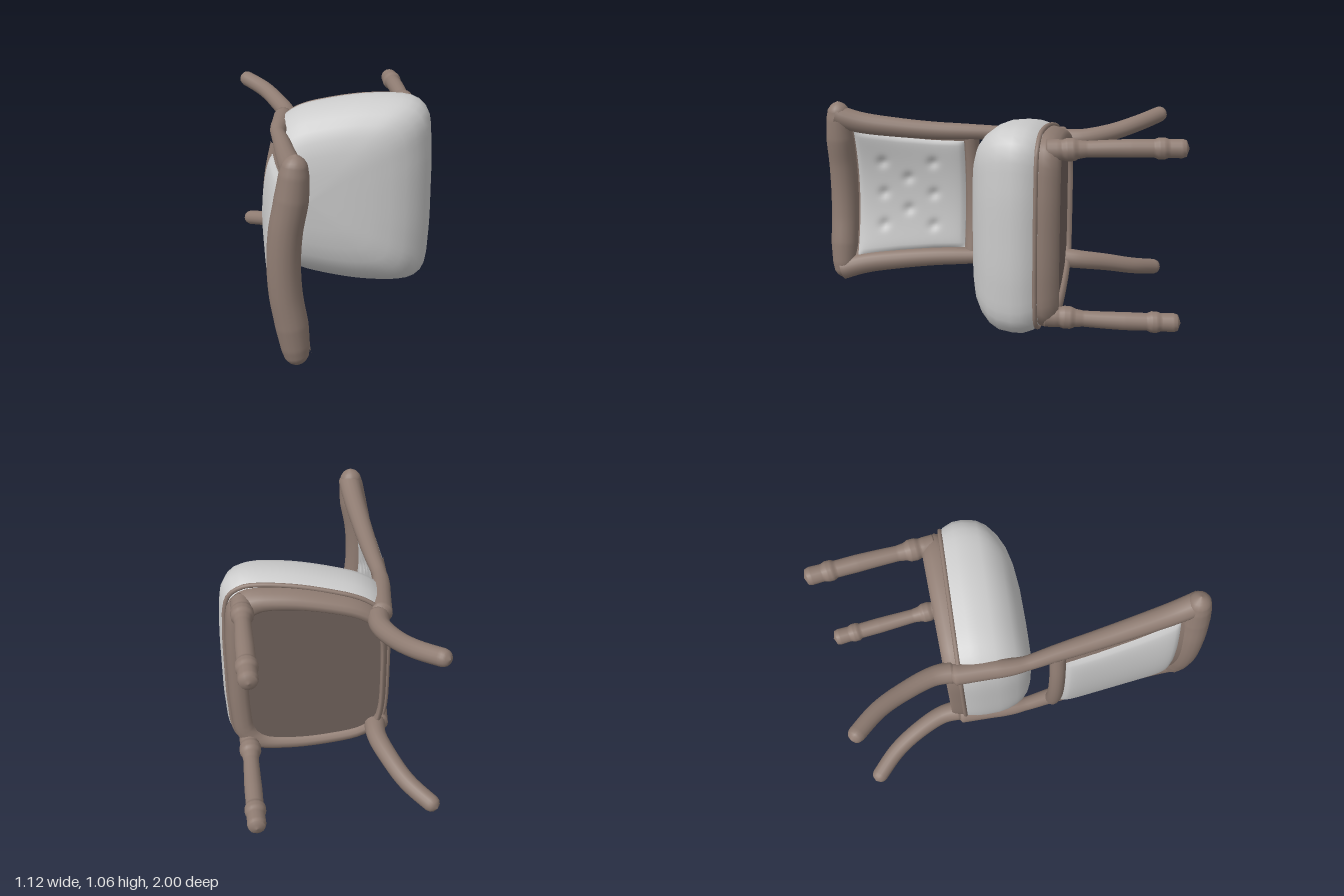
import * as THREE from 'three';
import { mergeVertices } from 'three/addons/utils/BufferGeometryUtils.js';

// The chair lies on its side: its seat faces +z, its front +x, its width runs along y.
const MID = 0.54;
const wood = new THREE.MeshStandardMaterial({ color: 0x8f7c72 });
const darkWood = new THREE.MeshStandardMaterial({ color: 0x6f615b });
const fabric = new THREE.MeshStandardMaterial({ color: 0xcccccc });
const V = (x, y, z) => new THREE.Vector3(x, y, z);

function smooth(geo) {
  geo.deleteAttribute('uv');
  geo.deleteAttribute('normal');
  const g = mergeVertices(geo, 1e-5);
  g.computeVertexNormals();
  return g;
}

// Piecewise linear lookup in [t, value] pairs
function lookup(pairs, t) {
  for (let i = 1; i < pairs.length; i++) {
    const [t0, a] = pairs[i - 1], [t1, b] = pairs[i];
    if (t <= t1) return a + (b - a) * (t - t0) / (t1 - t0);
  }
  return pairs[pairs.length - 1][1];
}

// Round bar along a curve, its radius varying by [t, r] pairs
function limb(points, radii, segs = 64, sides = 16) {
  const curve = new THREE.CatmullRomCurve3(points);
  const geo = new THREE.TubeGeometry(curve, segs, 1, sides);
  const p = geo.attributes.position, v = V(0, 0, 0);
  for (let i = 0; i <= segs; i++) {
    const c = curve.getPointAt(i / segs), r = lookup(radii, i / segs);
    for (let j = 0; j <= sides; j++) {
      const k = i * (sides + 1) + j;
      v.fromBufferAttribute(p, k).sub(c).multiplyScalar(r).add(c);
      p.setXYZ(k, v.x, v.y, v.z);
    }
  }
  return smooth(geo);
}

// Seat outline: one half, mirrored across the chair's width
const half = [[-0.3, 0.28], [-0.27, 0.375], [-0.18, 0.445], [0, 0.495], [0.26, 0.528],
  [0.46, 0.512], [0.53, 0.45], [0.555, 0.27]];
const outline = new THREE.CatmullRomCurve3([
  V(-0.31, 0, 0), ...half.map(([x, y]) => V(x, -y, 0)),
  V(0.56, 0, 0), ...half.slice().reverse().map(([x, y]) => V(x, y, 0)),
], true);
const RING = 72;
const ring = outline.getSpacedPoints(RING).slice(0, RING);
const seatPoint = (p, s, z, tilt) => {
  const x = -0.1 + (p.x + 0.1) * s;
  return V(x, 0.53 + p.y * s, z - tilt * (x - 0.2));
};

// Stack of scaled seat outlines, given as [scale, z]
function seatLoft(levels, tilt = 0) {
  const pos = [], idx = [];
  levels.forEach(([s, z], i) => ring.forEach((p, j) => {
    pos.push(...seatPoint(p, s, z, tilt).toArray());
    if (i === 0) return;
    const k = (j + 1) % RING, a = (i - 1) * RING, b = i * RING;
    idx.push(a + j, a + k, b + k, a + j, b + k, b + j);
  }));
  const geo = new THREE.BufferGeometry();
  geo.setAttribute('position', new THREE.Float32BufferAttribute(pos, 3));
  geo.setIndex(idx);
  geo.computeVertexNormals();
  return geo;
}

// Backrest rakes backwards with height and is hollowed across its width
const backX = (y, z, sag = 0.052 + 0.04 * z) => {
  const t = (y - MID) / 0.4;
  return -0.26 + 0.175 * z - sag * Math.max(0, 1 - t * t);
};
const stileHalf = (z) => lookup([[-0.4, 0.345], [0, 0.354], [0.4, 0.366], [0.6, 0.382], [0.8, 0.408], [0.95, 0.45]], z);

// Buttons of the tufted pad, as [y, z]
const buttons = [];
for (const dy of [-0.18, 0, 0.18]) for (const z of [0.41, 0.69]) buttons.push([MID + dy, z]);
for (const dy of [-0.09, 0.09]) buttons.push([MID + dy, 0.55]);

// Curved slab that follows the backrest
function backSlab(thick, z0, z1, inset, pillow) {
  const geo = new THREE.BoxGeometry(1, 2, 1, 1, 44, 40);
  const p = geo.attributes.position;
  for (let i = 0; i < p.count; i++) {
    const side = p.getX(i) * 2, u = p.getY(i), w = p.getZ(i) * 2;
    const z = z0 + (z1 - z0) * (w + 1) / 2, y = MID + u * (stileHalf(z) - inset);
    let t = thick / 2;
    if (pillow) {
      t *= 0.55 + 0.45 * Math.pow((1 - u ** 8) * (1 - w ** 8), 0.5);
      if (side > 0) for (const [by, bz] of buttons) {
        t -= 0.016 * Math.exp(-((y - by) ** 2 + (z - bz) ** 2) / 0.0008);
      }
    }
    p.setXYZ(i, backX(y, z) + side * t, y, z);
  }
  geo.computeVertexNormals();
  return geo;
}

export function createModel() {
  const model = new THREE.Group();
  const add = (name, geo, mat) => {
    const mesh = new THREE.Mesh(geo, mat);
    mesh.name = name;
    model.add(mesh);
  };

  // Seat: domed cushion, piping, rounded frame and recessed underside
  add('seatCushion', seatLoft([[0.92, -0.31], [0.965, -0.28], [0.995, -0.23], [1, -0.18], [0.985, -0.11],
    [0.945, -0.06], [0.87, -0.01], [0.78, 0.027], [0.66, 0.054], [0.5, 0.072], [0.3, 0.082], [0.001, 0.086]]), fabric);
  const pipingPath = new THREE.CatmullRomCurve3(
    ring.filter((_, i) => i % 2 === 0).map((p) => seatPoint(p, 0.945, -0.297, 0)), true);
  add('seatPiping', new THREE.TubeGeometry(pipingPath, 96, 0.012, 8, true), wood);
  add('seatFrame', seatLoft([[0.76, -0.34], [0.77, -0.375], [0.8, -0.392], [0.85, -0.392], [0.888, -0.377],
    [0.915, -0.35], [0.935, -0.315], [0.92, -0.28]], 0.05), wood);
  add('seatUnderside', seatLoft([[0.001, -0.365], [0.4, -0.365], [0.8, -0.365]], 0.05), darkWood);

  for (const s of [1, -1]) {
    const side = s > 0 ? 'Upper' : 'Lower';
    // Turned front legs
    add('frontLeg' + side, limb([V(0.425, 0.53 + s * 0.42, -0.32), V(0.38, 0.53 + s * 0.436, -0.66), V(0.33, 0.53 + s * 0.44, -1)],
      [[0, 0.001], [0.02, 0.055], [0.1, 0.053], [0.13, 0.05], [0.16, 0.057], [0.21, 0.056], [0.24, 0.046], [0.3, 0.04],
        [0.6, 0.045], [0.76, 0.044], [0.79, 0.053], [0.83, 0.053], [0.86, 0.045], [0.95, 0.047], [0.98, 0.04], [1, 0.001]], 100), wood);
    // Swept back legs
    add('backLeg' + side, limb([V(-0.24, MID + s * 0.335, -0.3), V(-0.25, MID + s * 0.345, -0.42), V(-0.31, MID + s * 0.37, -0.56),
      V(-0.4, MID + s * 0.41, -0.7), V(-0.545, MID + s * 0.455, -0.84)],
      [[0, 0.001], [0.04, 0.055], [0.2, 0.05], [0.5, 0.046], [0.94, 0.043], [0.98, 0.034], [1, 0.001]]), wood);
    // Backrest stiles, running down beside the seat
    add('backStile' + side, limb([-0.36, -0.15, 0, 0.2, 0.4, 0.6, 0.8, 0.93].map((z) =>
      V(z < 0 ? -0.258 : backX(0, z, 0), MID + s * stileHalf(z), z)),
      [[0, 0.001], [0.03, 0.055], [0.2, 0.05], [0.3, 0.038], [0.5, 0.047], [0.8, 0.056], [1, 0.062]]), wood);
  }

  // Cross rails of the backrest
  const rail = (z, reach, sag, mid) => [-1, -0.6, -0.3, 0, 0.3, 0.6, 1].map((u) => {
    const y = mid + u * reach;
    return V(backX(y, z, sag), y, z);
  });
  add('topRail', limb(rail(0.92, 0.512, 0.06, 0.553),
    [[0, 0.001], [0.015, 0.036], [0.04, 0.056], [0.09, 0.068], [0.2, 0.078], [0.8, 0.078], [0.91, 0.068],
      [0.96, 0.056], [0.985, 0.036], [1, 0.001]], 96), wood);
  add('lowerBackRail', limb(rail(0.197, 0.355, 0.06, MID), [[0, 0.042], [1, 0.042]], 40), wood);

  // Backrest panel and tufted pad
  add('backPanel', backSlab(0.045, 0.19, 0.88, 0.01, false), wood);
  add('backPad', backSlab(0.1, 0.235, 0.835, 0.055, true), fabric);

  return model;
}
